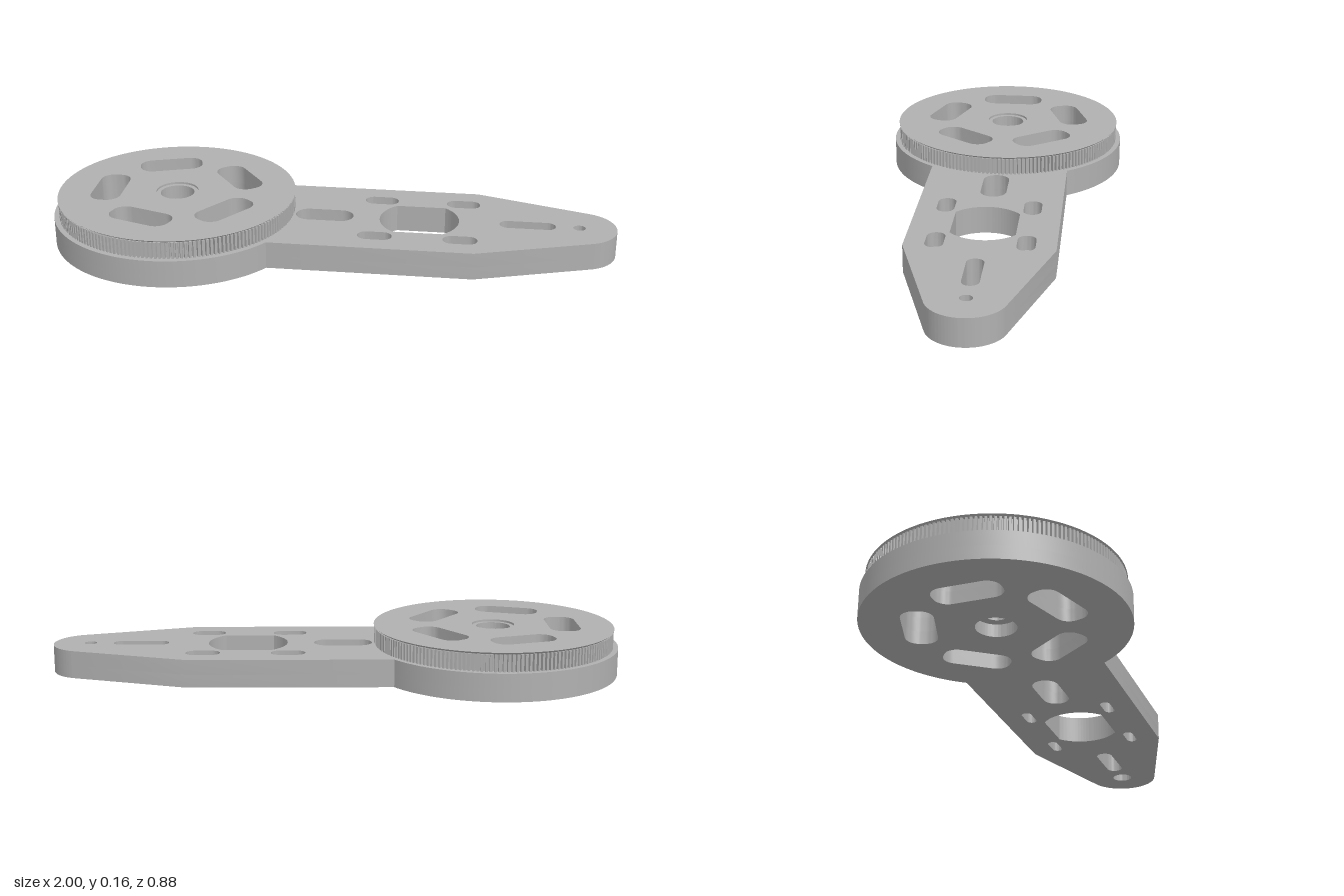
import * as THREE from 'three';
import { toCreasedNormals } from 'three/addons/utils/BufferGeometryUtils.js';

const HUB_X = -0.56;
const HUB_R = 0.44;
const TIP_X = 0.87;

// Circular hole
function hole(x, y, r) {
  return new THREE.Path().absarc(x, y, r, 0, Math.PI * 2);
}

// Slot with rounded corners, turned by an angle
function slot(cx, cy, halfL, halfW, r = halfW, angle = 0) {
  const pts = [];
  const c = Math.cos(angle), s = Math.sin(angle);
  [[1, 1], [-1, 1], [-1, -1], [1, -1]].forEach(([sx, sy], q) => {
    for (let i = 0; i <= 10; i++) {
      const a = (q + i / 10) * Math.PI / 2;
      const x = sx * (halfL - r) + r * Math.cos(a);
      const y = sy * (halfW - r) + r * Math.sin(a);
      const p = new THREE.Vector2(cx + x * c - y * s, cy + x * s + y * c);
      if (!pts.length || pts[pts.length - 1].distanceTo(p) > 1e-5) pts.push(p);
    }
  });
  return new THREE.Path(pts);
}

// Five tangential windows around the hub
function hubWindows() {
  return Array.from({ length: 5 }, (_, i) => {
    const a = Math.PI + i * Math.PI * 0.4;
    return slot(HUB_X + 0.246 * Math.cos(a), 0.246 * Math.sin(a), 0.115, 0.054, 0.046, a + Math.PI / 2);
  });
}

// Flat layer between two heights
function layer(shape, holes, y0, y1) {
  shape.holes = holes;
  const g = new THREE.ExtrudeGeometry(shape, { depth: y1 - y0, bevelEnabled: false, curveSegments: 72 });
  g.rotateX(-Math.PI / 2);
  g.translate(0, y0, 0);
  return g;
}

// Disc running into a tapered arm with a round tip
function plateOutline() {
  const s = new THREE.Shape();
  const join = Math.asin(0.25 / HUB_R);
  const tip = Math.atan2(0.95, 0.313);
  s.absarc(HUB_X, 0, HUB_R, join, Math.PI * 2 - join, false);
  s.lineTo(0.51, -0.25);
  s.absarc(TIP_X, 0, 0.13, -tip, tip, false);
  s.lineTo(0.51, 0.25);
  s.closePath();
  return s;
}

// Round opening with two flat sides
function motorOpening() {
  const a = Math.asin(0.11 / 0.14);
  const p = new THREE.Path();
  p.absarc(0.31, 0, 0.14, -a, a, false);
  p.absarc(0.31, 0, 0.14, Math.PI - a, Math.PI + a, false);
  p.closePath();
  return p;
}

// Fine toothed ring outline
function toothedOutline(teeth, rOut, rIn) {
  const pts = [];
  for (let i = 0; i < teeth; i++) {
    [[0, rOut], [0.5, rOut], [0.62, rIn], [0.88, rIn]].forEach(([t, r]) => {
      const a = (i + t) / teeth * Math.PI * 2;
      pts.push(new THREE.Vector2(HUB_X + r * Math.cos(a), r * Math.sin(a)));
    });
  }
  return new THREE.Shape(pts);
}

export function createModel() {
  const group = new THREE.Group();
  const grey = new THREE.MeshStandardMaterial({ color: 0xb0b0b0 });
  grey.name = 'light grey';

  const add = (name, geometry) => {
    const mesh = new THREE.Mesh(toCreasedNormals(geometry, 0.4), grey);
    mesh.name = name;
    group.add(mesh);
  };

  // Openings in the arm; screw slots and tip hole change size with height
  const plateHoles = (screwL, screwW, tipR, hubR) => {
    const list = [
      ...hubWindows(),
      hole(HUB_X, 0, hubR),
      slot(-0.027, 0, 0.103, 0.046),
      motorOpening(),
      slot(0.69, 0, 0.098, 0.029),
      hole(TIP_X, 0, tipR),
    ];
    for (const x of [0.165, 0.46]) {
      for (const z of [-0.15, 0.15]) list.push(slot(x, z, screwL, screwW));
    }
    return list;
  };

  // Arm plate
  add('lowerPlate', layer(plateOutline(), plateHoles(0.046, 0.018, 0.036, 0.068), 0, 0.045));
  add('upperPlate', layer(plateOutline(), plateHoles(0.06, 0.031, 0.021, 0.038), 0.045, 0.097));

  // Toothed wheel, with a stepped bore
  add('toothedRing', layer(toothedOutline(180, 0.422, 0.409),
    [...hubWindows(), hole(HUB_X, 0, 0.06)], 0.097, 0.156));

  // Rim flange, narrowed at its lower edge
  const disc = new THREE.Shape().absarc(HUB_X, 0, 0.424, 0, Math.PI * 2);
  const rim = layer(disc, [...hubWindows(), hole(HUB_X, 0, 0.075)], 0.156, 0.163);
  const pos = rim.attributes.position;
  for (let i = 0; i < pos.count; i++) {
    const x = pos.getX(i) - HUB_X, z = pos.getZ(i);
    if (pos.getY(i) < 0.16 && Math.hypot(x, z) > 0.4) {
      pos.setX(i, HUB_X + x * 0.98);
      pos.setZ(i, z * 0.98);
    }
  }
  add('rimFlange', rim);

  return group;
}
